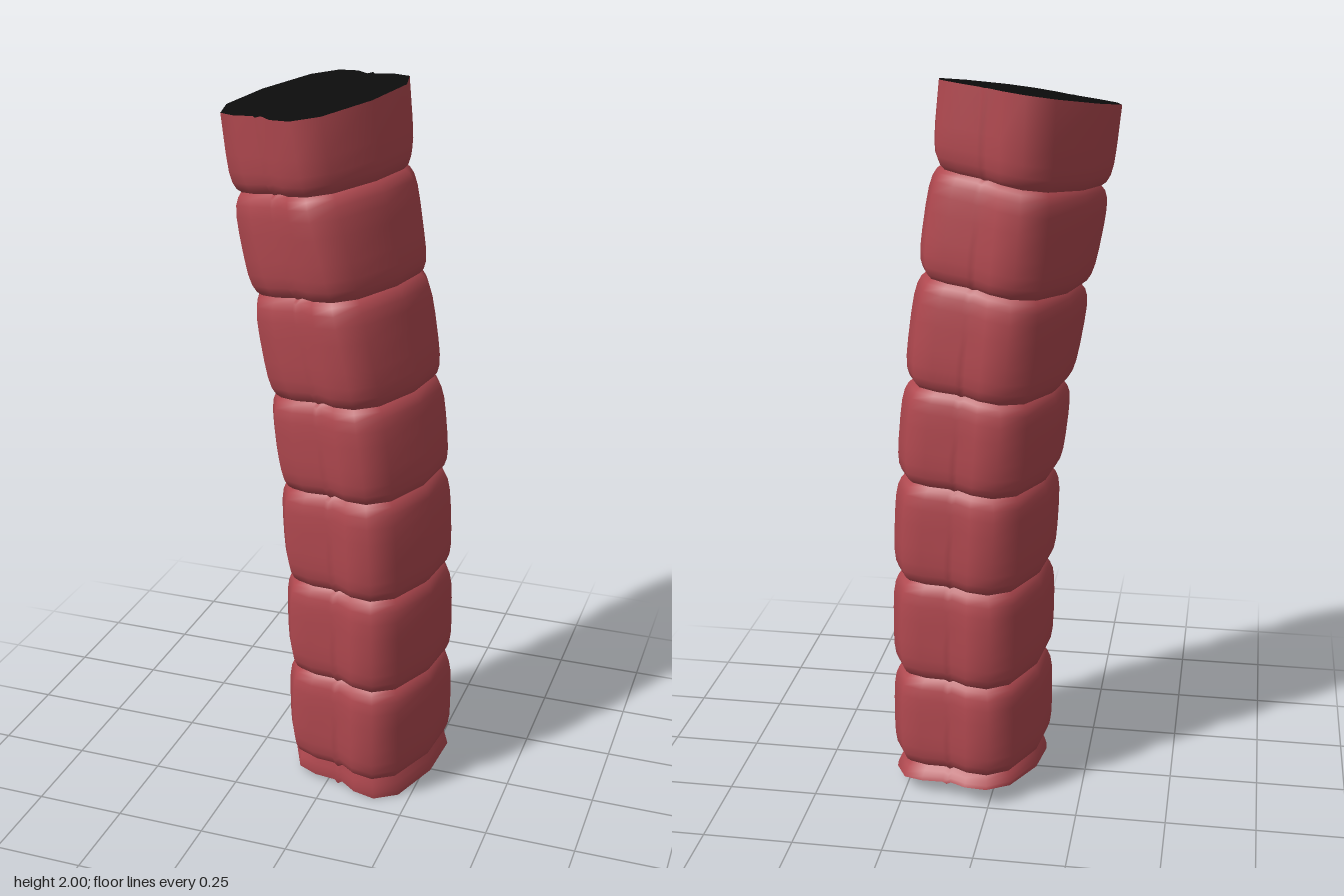
import * as THREE from 'three';

// Half of the cross-section (x, z); the other half is its half-turn copy.
// The three middle points form the groove with its thin raised seam.
const HALF = [
  [0.233, -0.032], [0.185, 0.1], [0.093, 0.22], [0.02, 0.244], [-0.042, 0.217],
  [-0.08, 0.177], [-0.093, 0.186], [-0.104, 0.169], [-0.165, 0.15], [-0.215, 0.115],
];
const SECTION = [...HALF, ...HALF.map(([x, z]) => [-x, -z])];
const N = SECTION.length;

// Joints along the stem: height, centre x, centre z, tilt in x, tilt in z, twist in degrees
const JOINTS = [
  [0.029, 0.08, -0.024, -0.04, -0.11, -14],
  [0.075, 0.078, -0.012, -0.02, -0.05, -14],
  [0.355, 0.078, -0.004, 0, 0, -14],
  [0.64, 0.074, 0, 0.015, 0, -14],
  [0.925, 0.06, 0, 0.05, 0, -14],
  [1.19, 0.033, 0, 0.08, 0, -12],
  [1.475, -0.01, 0.003, 0.12, 0, -8],
  [1.75, -0.055, 0.008, 0.14, -0.02, -3],
  [1.964, -0.076, 0.012, 0.13, -0.1, 0],
];

// Bulge profiles: [fraction of the segment height, scale]
const PUFF = [[0, 0.885], [0.04, 0.935], [0.11, 0.972], [0.22, 0.993], [0.38, 1],
  [0.62, 1], [0.78, 0.993], [0.89, 0.972], [0.96, 0.935], [1, 0.885]];
const SKIRT = [[0, 0.955], [0.3, 0.95], [0.65, 0.92], [1, 0.885]];
const TOP = [[0, 0.885], [0.05, 0.935], [0.14, 0.972], [0.28, 0.993], [0.5, 1], [1, 1]];

function ring(joint, scale) {
  const [h, cx, cz, sx, sz, twist] = joint;
  const a = THREE.MathUtils.degToRad(twist);
  return SECTION.map(([px, pz]) => {
    const x = scale * (px * Math.cos(a) - pz * Math.sin(a));
    const z = scale * (px * Math.sin(a) + pz * Math.cos(a));
    return [cx + x, h + sx * x + sz * z, cz + z];
  });
}

function buildGeometry(points, index) {
  const g = new THREE.BufferGeometry();
  g.setAttribute('position', new THREE.Float32BufferAttribute(points.flat(), 3));
  g.setIndex(index);
  g.computeVertexNormals();
  return g;
}

// Side wall of one segment, lofted between two joints
function segmentGeometry(lower, upper, profile) {
  const points = [], index = [];
  profile.forEach(([t, scale], i) => {
    points.push(...ring(lower.map((v, k) => v + (upper[k] - v) * t), scale));
    if (i === 0) return;
    for (let j = 0; j < N; j++) {
      const a = (i - 1) * N + j, b = (i - 1) * N + (j + 1) % N;
      index.push(a, a + N, b, b, a + N, b + N);
    }
  });
  return buildGeometry(points, index);
}

// Flat cut face closing one end
function capGeometry(joint, scale, up) {
  const points = [...ring(joint, scale), joint.slice(1, 2).concat(joint[0], joint[2])];
  const index = [];
  for (let j = 0; j < N; j++) {
    const k = (j + 1) % N;
    index.push(N, up ? k : j, up ? j : k);
  }
  return buildGeometry(points, index);
}

export function createModel() {
  const group = new THREE.Group();
  group.name = 'segmentedStem';
  const red = new THREE.MeshStandardMaterial({ color: 0xb0484f });
  red.name = 'dusty red';
  const black = new THREE.MeshStandardMaterial({ color: 0x0c0c0c });
  black.name = 'black';

  const add = (name, geometry, material) => {
    const mesh = new THREE.Mesh(geometry, material);
    mesh.name = name;
    group.add(mesh);
  };

  // Skirt, puffed segments and the cut top segment
  const last = JOINTS.length - 1;
  for (let i = 0; i < last; i++) {
    const profile = i === 0 ? SKIRT : i === last - 1 ? TOP : PUFF;
    const name = i === 0 ? 'bottomSkirt' : `segment${i}`;
    add(name, segmentGeometry(JOINTS[i], JOINTS[i + 1], profile), red);
  }

  // Cut ends
  add('bottomCutFace', capGeometry(JOINTS[0], SKIRT[0][1], false), black);
  add('topCutFace', capGeometry(JOINTS[last], 1, true), black);
  return group;
}
